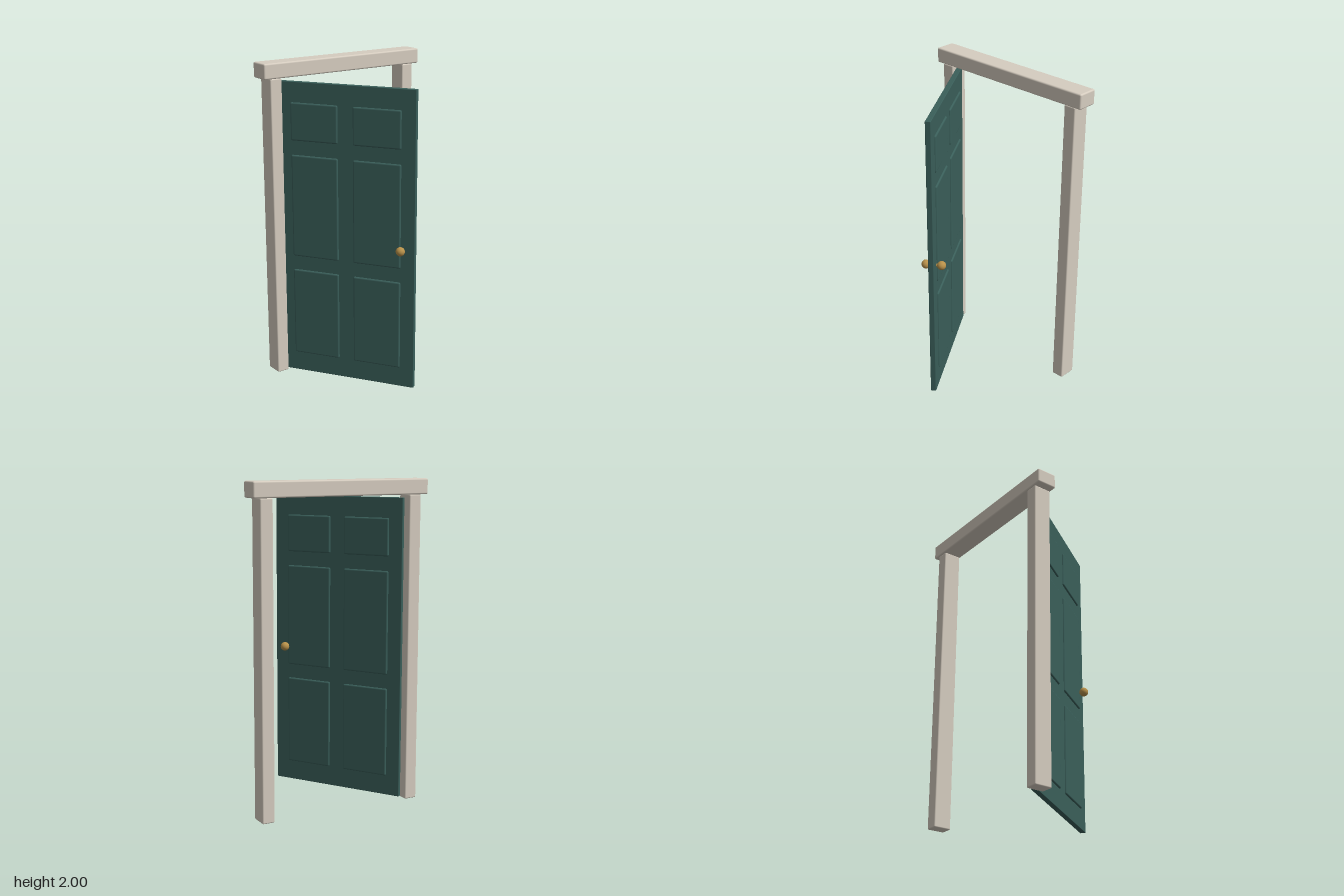
import * as THREE from 'three';
import { RoundedBoxGeometry } from 'three/addons/geometries/RoundedBoxGeometry.js';

export function createModel() {
  const model = new THREE.Group();
  model.name = 'openDoor';

  const material = (name, color) => {
    const m = new THREE.MeshStandardMaterial({ color });
    m.name = name;
    return m;
  };
  const framePaint = material('warm white paint', 0xd6cdc0);
  const doorPaint = material('deep teal paint', 0x3a5f5a);
  const brass = material('brass', 0xb8914a);

  const add = (parent, name, geometry, mat, x, y, z) => {
    const mesh = new THREE.Mesh(geometry, mat);
    mesh.name = name;
    mesh.position.set(x, y, z);
    parent.add(mesh);
    return mesh;
  };
  const box = (w, h, d, r) => new RoundedBoxGeometry(w, h, d, 3, r);

  // Frame: two posts under an overhanging lintel
  const frame = new THREE.Group();
  frame.name = 'frame';
  model.add(frame);
  const frameZ = -0.35;
  for (const [side, name] of [[1, 'leftPost'], [-1, 'rightPost']]) {
    add(frame, name, box(0.08, 1.905, 0.114, 0.008), framePaint, side * 0.495, 0.9525, frameZ);
  }
  add(frame, 'lintel', box(1.16, 0.095, 0.13, 0.01), framePaint, 0, 1.9525, frameZ);

  // Door: built along +x from its hinge, then swung open
  const door = new THREE.Group();
  door.name = 'door';
  door.position.set(-0.45, 0, frameZ);
  door.rotation.y = -THREE.MathUtils.degToRad(57);
  model.add(door);
  const width = 0.89;
  add(door, 'slab', box(width, 1.88, 0.034, 0.003), doorPaint, width / 2, 0.945, 0);

  // Six raised panels, showing on both faces
  const rows = [[0.13, 0.695], [0.785, 1.435], [1.525, 1.76]];
  for (const [bottom, top] of rows) {
    for (const side of [-1, 1]) {
      add(door, 'raisedPanel', box(0.307, top - bottom, 0.053, 0.01), doorPaint,
        width / 2 + side * 0.2025, (bottom + top) / 2, 0);
    }
  }

  // A knob on each face, with a short spindle between them
  const knobX = width - 0.08, knobY = 0.905;
  for (const side of [-1, 1]) {
    add(door, 'knob', new THREE.SphereGeometry(0.028, 24, 16), brass, knobX, knobY, side * 0.049);
  }
  const spindle = add(door, 'spindle', new THREE.CylinderGeometry(0.01, 0.01, 0.08, 16), brass, knobX, knobY, 0);
  spindle.rotation.x = Math.PI / 2;

  return model;
}
